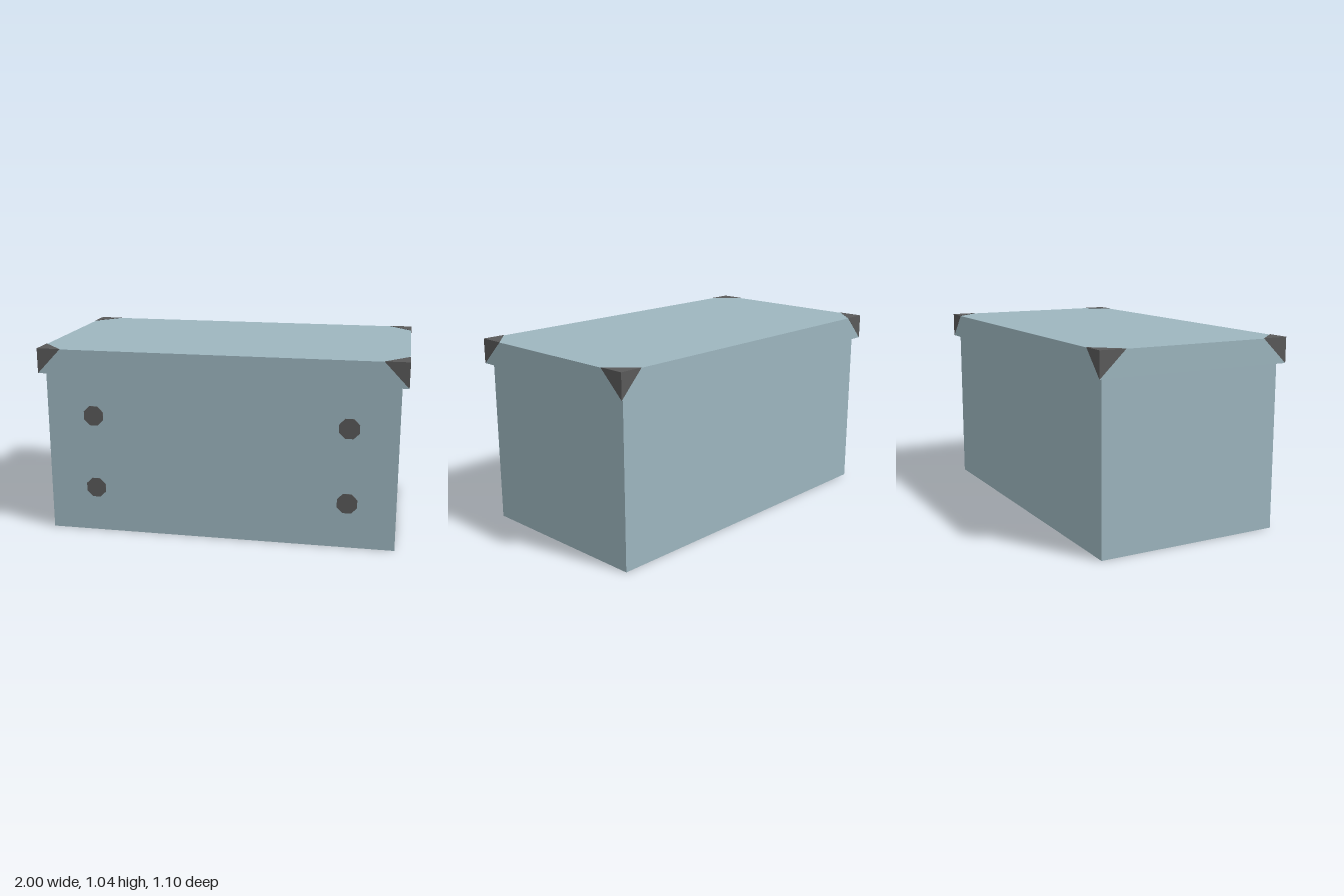
import * as THREE from 'three';
import { ConvexGeometry } from 'three/addons/geometries/ConvexGeometry.js';

export function createModel() {
  const model = new THREE.Group();
  model.name = 'lidded box';

  const paint = new THREE.MeshStandardMaterial({ color: 0x9db6bf });
  paint.name = 'pale blue grey';
  const metal = new THREE.MeshStandardMaterial({ color: 0x595959 });
  metal.name = 'dark grey';

  const add = (name, geometry, material, x = 0, y = 0, z = 0) => {
    const mesh = new THREE.Mesh(geometry, material);
    mesh.name = name;
    mesh.position.set(x, y, z);
    model.add(mesh);
    return mesh;
  };

  // Box body and overhanging lid
  const bodyTop = 0.905, lidTop = 1.041;
  add('body', new THREE.BoxGeometry(1.93, bodyTop, 1.04), paint, 0, bodyTop / 2, 0);
  add('lid', new THREE.BoxGeometry(1.996, lidTop - bodyTop, 1.096), paint, 0, (bodyTop + lidTop) / 2, 0);

  // Corner guards: three-sided caps sitting just proud of the lid
  for (const sx of [-1, 1]) {
    for (const sz of [-1, 1]) {
      const cap = new ConvexGeometry([
        new THREE.Vector3(0, 0, 0),
        new THREE.Vector3(-sx * 0.132, 0, 0),
        new THREE.Vector3(0, -0.138, 0),
        new THREE.Vector3(0, 0, -sz * 0.145),
      ]);
      add('cornerGuard', cap, metal, sx, lidTop + 0.002, sz * 0.55);
    }
  }

  // Flat eight-sided studs on the front
  const stud = new THREE.CylinderGeometry(0.059, 0.059, 0.006, 8);
  stud.rotateY(Math.PI / 8).rotateX(Math.PI / 2);
  for (const x of [-0.703, 0.703]) {
    for (const y of [0.253, 0.67]) add('stud', stud, metal, x, y, 0.52);
  }

  return model;
}
